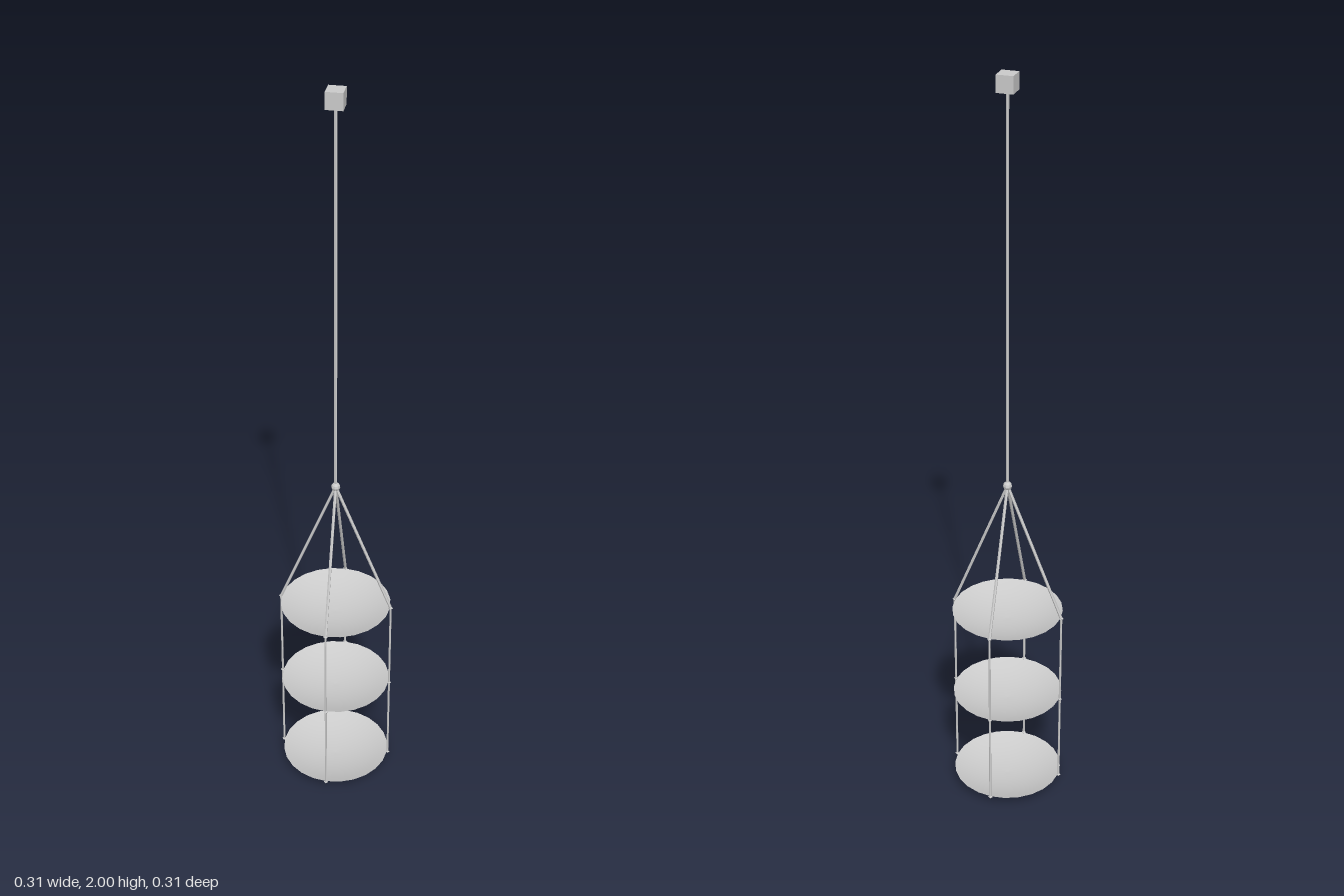
import * as THREE from 'three';

const grey = new THREE.MeshStandardMaterial({ color: 0xcccccc, side: THREE.DoubleSide });
const flat = new THREE.MeshStandardMaterial({ color: 0xcccccc, flatShading: true });

const RIM = 0.147;                       // tray radius
const DEPTH = 0.03;                      // tray sag
const LEVELS = [0.032, 0.293, 0.555];    // rim heights
const KNOT_Y = 0.932;

export function createModel() {
  const model = new THREE.Group();
  model.name = 'hangingTrayBasket';

  const add = (name, geometry, material, x = 0, y = 0, z = 0) => {
    const mesh = new THREE.Mesh(geometry, material);
    mesh.name = name;
    mesh.position.set(x, y, z);
    model.add(mesh);
    return mesh;
  };

  // Straight cord between two points
  const cord = (name, a, b, radius, sides) => {
    const dir = b.clone().sub(a);
    const mesh = add(name, new THREE.CylinderGeometry(radius, radius, dir.length(), sides), flat);
    mesh.position.copy(a).add(b).multiplyScalar(0.5);
    mesh.quaternion.setFromUnitVectors(new THREE.Vector3(0, 1, 0), dir.normalize());
  };

  // Ceiling block, main cord and knot
  add('ceilingMount', new THREE.BoxGeometry(0.042, 0.042, 0.042), flat, 0, 1.979, 0);
  const knot = new THREE.Vector3(0, KNOT_Y, 0);
  cord('mainCord', new THREE.Vector3(0, 1.96, 0), knot, 0.004, 6);
  add('knot', new THREE.SphereGeometry(0.012, 8, 6), flat, 0, KNOT_Y, 0);

  // Shallow spherical trays
  const sphereR = (RIM * RIM + DEPTH * DEPTH) / (2 * DEPTH);
  const profile = [];
  for (let i = 0; i <= 6; i++) {
    const r = (RIM * i) / 6;
    profile.push(new THREE.Vector2(r, sphereR - DEPTH - Math.sqrt(sphereR * sphereR - r * r)));
  }
  const trayGeometry = new THREE.LatheGeometry(profile, 24);
  LEVELS.forEach((y) => add('tray', trayGeometry, grey, 0, y, 0));

  // Four slanted cords, uprights and rim beads
  for (let i = 0; i < 4; i++) {
    const a = (i * Math.PI) / 2;
    const at = (y) => new THREE.Vector3(Math.cos(a) * 0.149, y, Math.sin(a) * 0.149);
    cord('slantedCord', knot, at(LEVELS[2]), 0.004, 6);
    cord('uprightCord', at(LEVELS[2]), at(LEVELS[0]), 0.003, 6);
    LEVELS.forEach((y) => add('rimBead', new THREE.OctahedronGeometry(0.0065), flat, ...at(y).toArray()));
  }

  return model;
}
